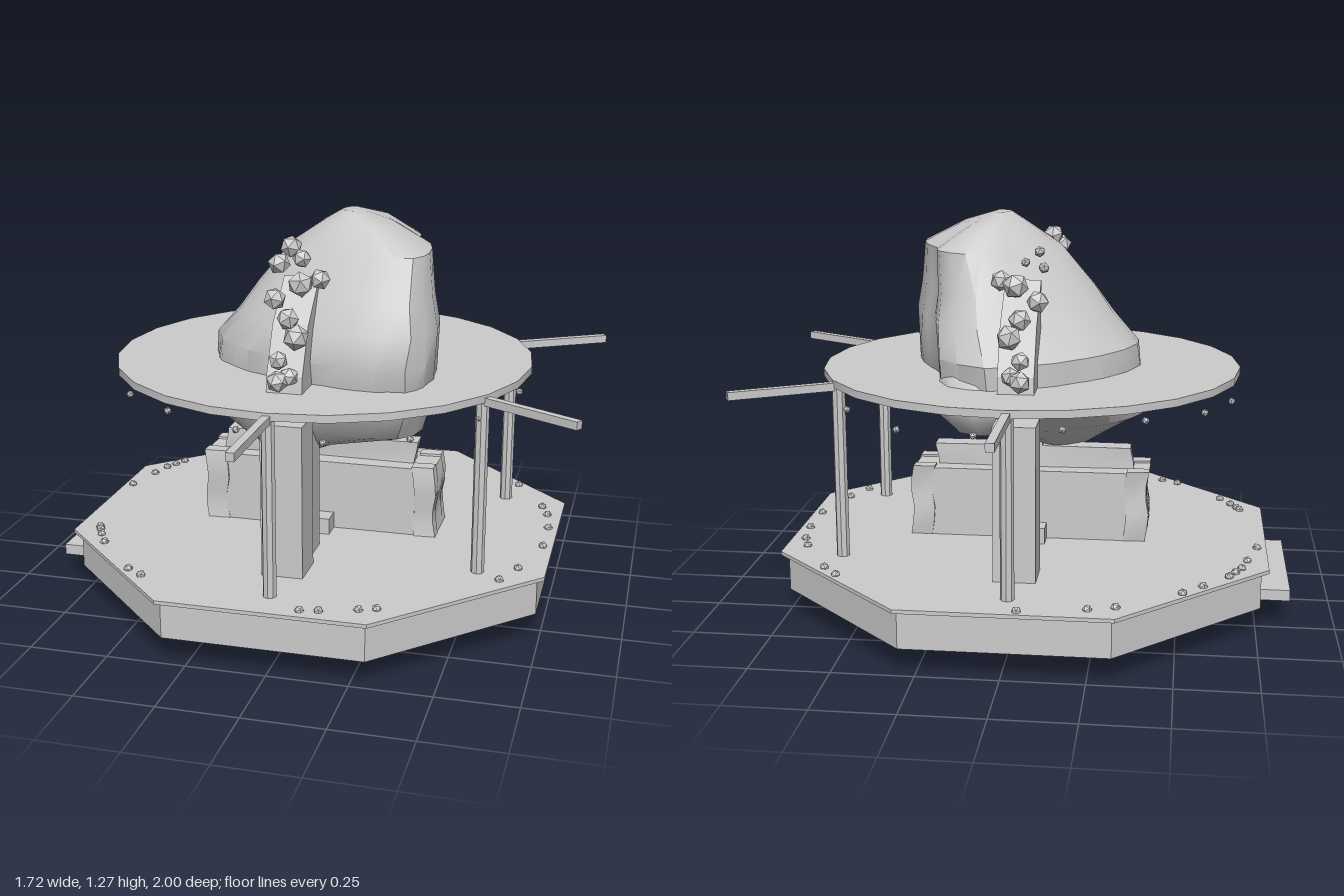
import * as THREE from 'three';
import { toCreasedNormals } from 'three/addons/utils/BufferGeometryUtils.js';

const CX = -0.012; // axis of the pavilion

export function createModel() {
  const model = new THREE.Group();
  const stone = new THREE.MeshStandardMaterial({ color: 0xcccccc });
  stone.name = 'pale stone';

  let seed = 7;
  const rand = () => (seed = (seed * 16807) % 2147483647) / 2147483647;

  const add = (name, geometry, x = 0, y = 0, z = 0) => {
    const mesh = new THREE.Mesh(geometry, stone);
    mesh.name = name;
    mesh.position.set(x, y, z);
    model.add(mesh);
    return mesh;
  };
  // box given by its limits
  const box = (name, x0, x1, y0, y1, z0, z1) =>
    add(name, new THREE.BoxGeometry(x1 - x0, y1 - y0, z1 - z0), (x0 + x1) / 2, (y0 + y1) / 2, (z0 + z1) / 2);

  // octagonal platform with a thin overhanging floor
  const octagon = (name, r, y0, y1) => {
    const g = new THREE.CylinderGeometry(r, r, y1 - y0, 8).toNonIndexed();
    g.rotateY(Math.PI / 8);
    g.computeVertexNormals();
    add(name, g, CX, (y0 + y1) / 2, 0);
  };
  octagon('platformBody', 0.812, 0.087, 0.205);
  octagon('platformFloor', 0.837, 0.205, 0.217);
  box('entryStep', -0.857, -0.76, 0.09, 0.125, -0.245, 0.245);

  // round roof
  const roof = toCreasedNormals(new THREE.CylinderGeometry(0.674, 0.674, 0.024, 24), 0.5);
  add('roofDisc', roof, CX, 0.777, 0);

  // posts and the arms reaching out above them
  for (const deg of [90, 30, -30, -90]) {
    const a = THREE.MathUtils.degToRad(deg);
    const c = Math.cos(a), s = Math.sin(a);
    const post = new THREE.CylinderGeometry(0.021, 0.021, 0.552, 8);
    add('post', toCreasedNormals(post, 0.5), CX + 0.655 * c, 0.491, 0.655 * s);
    const arm = add('arm', new THREE.BoxGeometry(0.36, 0.025, 0.025), CX + 0.82 * c, 0.768, 0.82 * s);
    arm.rotation.y = -a;
  }

  // central slab with rough ends, its cap beam and foot blocks
  const rough = (name, x0, x1, y0, y1, z0, z1) => {
    const m = box(name, x0, x1, y0, y1, z0, z1);
    const g = new THREE.BoxGeometry(x1 - x0, y1 - y0, z1 - z0, 2, 5, 2);
    const p = g.attributes.position;
    for (let i = 0; i < p.count; i++) {
      const x = p.getX(i), y = p.getY(i), z = p.getZ(i);
      p.setXYZ(i, x + 0.006 * Math.sin(y * 38 + z * 9), y, z + 0.005 * Math.sin(y * 31 + x * 12));
    }
    m.geometry = toCreasedNormals(g, 0.5);
  };
  box('slab', -0.33, 0.31, 0.215, 0.445, -0.05, 0.05);
  for (const [x0, x1] of [[-0.398, -0.325], [0.305, 0.375]]) {
    rough('slabEnd', x0, x1, 0.215, 0.452, -0.093, -0.047);
    rough('slabEnd', x0, x1, 0.215, 0.452, 0.047, 0.093);
    rough('slabEndCore', x0, x1, 0.215, 0.445, -0.05, 0.05);
  }
  box('slabSide', -0.33, 0.31, 0.215, 0.445, 0.05, 0.09);
  box('slabSide', -0.33, 0.31, 0.215, 0.445, -0.09, -0.05);
  rough('capBeam', -0.345, 0.3, 0.445, 0.515, -0.033, 0.033);
  box('stem', -0.05, 0.02, 0.5, 0.62, -0.03, 0.03);
  box('footBlock', -0.07, 0.04, 0.215, 0.27, -0.155, 0.155);

  // paired pillars and leaning shards, front and back
  for (const s of [1, -1]) {
    const pillar = (name, w, h, a, b) =>
      box(name, -0.015 - w, -0.015 + w, 0.215, h, Math.min(a * s, b * s), Math.max(a * s, b * s));
    pillar('outerPillar', 0.065, 0.7, 0.39, 0.517);
    pillar('innerPillar', 0.045, 0.72, 0.235, 0.39);
    const profile = [[0.3, 0.7], [0.48, 0.76], [0.47, 0.84], [0.4, 0.98], [0.27, 1.1]];
    const shape = new THREE.Shape(profile.map(([z, y]) => new THREE.Vector2(-z * s, y)));
    const g = new THREE.ExtrudeGeometry(shape, { depth: 0.11, bevelEnabled: false });
    g.rotateY(Math.PI / 2);
    add('leaningShard', g, -0.07, 0, 0);
  }

  // great boulder: outline from above, scaled to the limits of each level
  const outline = [[0.35, -0.05], [0.4, 0.21], [0.34, 0.37], [0.14, 0.38], [-0.1, 0.3], [-0.26, 0.21], [-0.34, 0.1],
    [-0.365, -0.03], [-0.26, -0.24], [-0.17, -0.33], [-0.08, -0.4], [0.08, -0.46], [0.24, -0.34], [0.27, -0.21]];
  const levels = [ // y, xMin, xMax, zMin, zMax
    [0.47, -0.14, -0.09, 0.08, 0.14], [0.56, -0.28, 0.1, -0.12, 0.25], [0.62, -0.375, 0.355, -0.29, 0.33],
    [0.72, -0.37, 0.385, -0.44, 0.38], [0.86, -0.355, 0.395, -0.45, 0.41], [0.95, -0.28, 0.395, -0.37, 0.385],
    [1.04, -0.215, 0.375, -0.3, 0.34], [1.17, -0.1, 0.36, -0.24, 0.27], [1.24, 0, 0.22, -0.14, 0.18],
    [1.275, 0.06, 0.11, 0, 0.1]];
  const curve = new THREE.CatmullRomCurve3(outline.map(([x, z]) => new THREE.Vector3(x, 0, z)), true);
  const ring = curve.getPoints(28).slice(0, 28);
  const n = ring.length, pos = [], idx = [];
  levels.forEach(([y, x0, x1, z0, z1], j) => {
    for (const p of ring) {
      const k = 1 + 0.03 * (rand() - 0.5);
      const u = (p.x - 0.0175) / 0.383 * k, v = (p.z + 0.04) / 0.425 * k;
      pos.push((x0 + x1) / 2 + u * (x1 - x0) / 2, y, (z0 + z1) / 2 + v * (z1 - z0) / 2);
    }
    if (j) for (let i = 0; i < n; i++) {
      const a = (j - 1) * n + i, b = (j - 1) * n + (i + 1) % n;
      idx.push(a, a + n, b, b, a + n, b + n);
    }
  });
  const last = (levels.length - 1) * n;
  for (let i = 1; i < n - 1; i++) idx.push(0, i, i + 1, last, last + i + 1, last + i);
  const boulder = new THREE.BufferGeometry();
  boulder.setAttribute('position', new THREE.Float32BufferAttribute(pos, 3));
  boulder.setIndex(idx);
  add('boulder', toCreasedNormals(boulder, 0.55));

  // smaller faceted rocks
  const rock = (name, x, y, z, rx, ry = rx, rz = rx, detail = 0) => {
    const m = add(name, new THREE.IcosahedronGeometry(1, detail), x, y, z);
    m.scale.set(rx, ry, rz);
    m.rotation.y = rand() * 6;
    return m;
  };
  rock('boulderLump', 0.22, 0.68, 0.1, 0.15, 0.12, 0.15, 1);
  rock('boulderLump', 0.1, 0.74, -0.29, 0.16, 0.13, 0.16, 1);
  rock('hangingRock', -0.012, 0.078, 0, 0.12, 0.075, 0.12, 1);
  box('underBeam', -0.34, -0.05, 0.078, 0.088, -0.012, 0.012);

  // trails of rocks climbing both sides: x, y, |z|, radius
  const trail = [[-0.03, 0.83, 0.495, 0.034], [0, 0.84, 0.47, 0.03], [-0.03, 0.89, 0.48, 0.03], [0.01, 0.95, 0.43, 0.04],
    [-0.02, 1.0, 0.41, 0.035], [-0.07, 1.05, 0.375, 0.035], [0, 1.09, 0.34, 0.04], [0.05, 1.1, 0.3, 0.033],
    [-0.08, 1.14, 0.29, 0.035], [-0.06, 1.18, 0.225, 0.035], [-0.02, 1.15, 0.25, 0.03]];
  for (const s of [1, -1])
    trail.forEach(([x, y, z, r], i) => {
      const small = s < 0 && i > 7 ? 0.5 : 1;
      rock('trailRock', x, y, z * s, r * small).rotation.x = rand() * 3;
    });

  // pebbles along the platform edge
  const pebbles = [[-0.33, -0.69], [-0.25, -0.715], [-0.05, -0.75], [-0.52, -0.555], [-0.58, -0.49], [-0.66, -0.4],
    [-0.68, -0.36], [-0.7, -0.32], [-0.72, -0.25], [-0.755, -0.12], [-0.71, 0.28], [-0.7, 0.3], [-0.68, 0.34],
    [-0.645, 0.4], [-0.49, 0.58], [-0.435, 0.615], [0.1, 0.735], [0.155, 0.725], [0.265, 0.69], [0.315, 0.67],
    [0.63, 0.38], [0.675, 0.28], [0.73, 0.085], [0.73, -0.075], [0.715, -0.19], [0.69, -0.26], [0.585, -0.455],
    [0.535, -0.515]];
  for (const [x, z] of pebbles) rock('pebble', x, 0.22, z, 0.015);

  // beads floating under the roof rim
  for (let i = 0; i < 16; i++) {
    const a = (i / 16) * Math.PI * 2 + 0.15;
    rock('floatingBead', CX + 0.655 * Math.cos(a), 0.715 + 0.02 * Math.cos(3 * a), 0.655 * Math.sin(a), 0.012);
  }
  return model;
}
